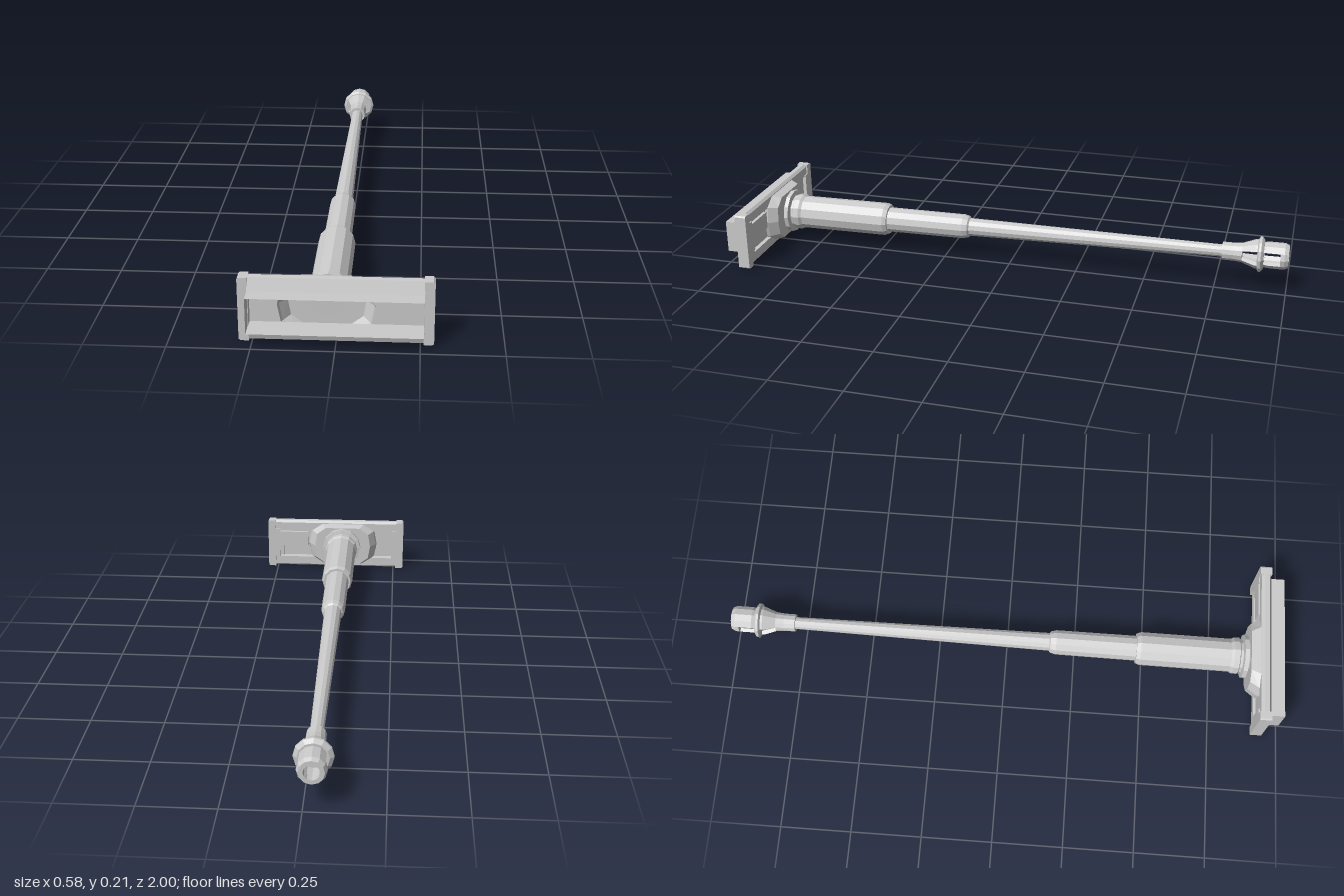
import * as THREE from 'three';

const material = new THREE.MeshStandardMaterial({ color: 0xcccccc, flatShading: true, side: THREE.DoubleSide });
const SIDES = 12;

function add(parent, name, geometry) {
  const mesh = new THREE.Mesh(geometry, material);
  mesh.name = name;
  parent.add(mesh);
  return mesh;
}

function box(parent, name, [x0, x1], [y0, y1], [z0, z1]) {
  const mesh = add(parent, name, new THREE.BoxGeometry(x1 - x0, y1 - y0, z1 - z0));
  mesh.position.set((x0 + x1) / 2, (y0 + y1) / 2, (z0 + z1) / 2);
}

const toVectors = (points) => points.map(([x, y]) => new THREE.Vector2(x, y));

// Turned part along -z; points are [radius, distance], angle 0 is up
function turned(parent, name, points, start = 0, sweep = Math.PI * 2) {
  const segments = Math.round((SIDES * sweep) / (Math.PI * 2));
  const g = new THREE.LatheGeometry(toVectors(points), segments, start, sweep);
  return add(parent, name, g.rotateX(-Math.PI / 2));
}

// Arc-shaped solid between two side ports, with closed cut faces
function portBridge(parent, name, points, middle) {
  const start = middle - Math.PI / 3, sweep = (Math.PI * 2) / 3;
  turned(parent, name, [...points, points[0]], start, sweep);
  for (const angle of [start, start + sweep]) {
    const cap = new THREE.ShapeGeometry(new THREE.Shape(toVectors(points)));
    add(parent, name + 'Side', cap.rotateY(angle - Math.PI / 2).rotateX(-Math.PI / 2));
  }
}

// Quads joining closed rings of equal point count
function loft(rings) {
  const n = rings[0].length, index = [];
  for (let r = 0; r < rings.length - 1; r++) {
    for (let i = 0; i < n; i++) {
      const a = r * n + i, b = r * n + ((i + 1) % n);
      index.push(a, a + n, b, b, a + n, b + n);
    }
  }
  const g = new THREE.BufferGeometry();
  g.setAttribute('position', new THREE.Float32BufferAttribute(rings.flat(2), 3));
  g.setIndex(index);
  g.computeVertexNormals();
  return g;
}

function buildBarrel() {
  const gun = new THREE.Group();
  gun.name = 'barrelAssembly';

  // Stepped, tapering tube with its root collars
  turned(gun, 'barrel', [
    [0, 0], [0.08, 0], [0.08, 0.015], [0.062, 0.018], [0.062, 0.027], [0.067, 0.03],
    [0.067, 0.05], [0.061, 0.06], [0.061, 0.385], [0.055, 0.4], [0.046, 0.4],
    [0.045, 0.69], [0.04, 0.71], [0.033, 0.715], [0.022, 1.64],
  ]);

  // Muzzle brake: sleeve, two pairs of side ports, collar and end ring
  turned(gun, 'muzzleSleeve', [[0.02, 1.64], [0.032, 1.64], [0.032, 1.68], [0.035, 1.71], [0, 1.71]]);
  for (const middle of [0, Math.PI]) {
    portBridge(gun, 'rearPortBridge', [[0.022, 1.71], [0.035, 1.71], [0.052, 1.755], [0.052, 1.765], [0.038, 1.765]], middle);
    portBridge(gun, 'frontPortBridge', [[0.034, 1.78], [0.042, 1.78], [0.047, 1.795], [0.047, 1.845], [0.034, 1.845]], middle);
  }
  turned(gun, 'muzzleCollar', [[0.026, 1.763], [0.054, 1.763], [0.063, 1.768], [0.063, 1.776], [0.05, 1.785], [0.026, 1.785], [0.026, 1.763]]);
  turned(gun, 'muzzleRing', [[0.026, 1.842], [0.047, 1.842], [0.047, 1.856], [0.04, 1.87], [0.026, 1.87], [0.026, 1.842]]);

  gun.position.set(-0.028, 0.11, 0.87);
  gun.rotation.x = 0.014;
  return gun;
}

function buildShield() {
  const shield = new THREE.Group();
  shield.name = 'shield';
  const cx = -0.031, cy = 0.108;

  // Open sleeve facing forward
  const rect = (z) => [[-0.262, 0.05, z], [0.26, 0.05, z], [0.26, 0.166, z], [-0.262, 0.166, z]];
  add(shield, 'frontSleeve', loft([rect(1), rect(0.918)]));

  // Bevelled rails above and below the sleeve
  for (const side of [1, -1]) {
    const y = (v) => 0.104 + side * v;
    const profile = new THREE.Shape(toVectors([
      [-0.952, y(0.061)], [-0.938, y(0.102)], [-0.92, y(0.103)], [-0.91, y(0.095)], [-0.91, y(0.061)],
    ]));
    const g = new THREE.ExtrudeGeometry(profile, { depth: 0.524, bevelEnabled: false });
    const rail = add(shield, side > 0 ? 'topRail' : 'bottomRail', g.rotateY(Math.PI / 2));
    rail.position.x = -0.263;
  }

  // End plates with a rounded outline, and the rear strips beside them
  for (const side of [1, -1]) {
    const shape = new THREE.Shape(toVectors([
      [0.26, 0], [0.286, 0], [0.291, 0.005], [0.291, 0.202], [0.286, 0.207], [0.26, 0.207],
    ].map(([x, y]) => [x * side, y])));
    const end = add(shield, 'endPlate', new THREE.ExtrudeGeometry(shape, { depth: 0.042, bevelEnabled: false }));
    end.position.z = 0.905;
    box(shield, 'rearStrip', side > 0 ? [0.24, 0.262] : [-0.262, -0.24], [0.045, 0.17], [0.905, 0.918]);

    // Back web, cut to the outline of the collar housing
    const web = new THREE.Shape(toVectors([
      [side * 0.261, 0.05], [cx + side * 0.135, 0.05], [cx + side * 0.146, cy],
      [cx + side * 0.135, 0.166], [side * 0.261, 0.166],
    ]));
    add(shield, 'backWeb', new THREE.ShapeGeometry(web)).position.z = 0.918;
  }

  // Small tapered panel and tab on the back
  box(shield, 'rearPanel', [0.12, 0.24], [0.095, 0.158], [0.906, 0.919]);
  box(shield, 'rearTab', [0.225, 0.24], [0.05, 0.095], [0.91, 0.919]);

  // Faceted housing around the barrel root
  const quarter = [[0.146, 0], [0.135, 0.058], [0.09, 0.088]];
  const mirrorX = quarter.map(([x, y]) => [-x, y]).reverse();
  const upper = [...quarter, ...mirrorX];
  const lower = upper.slice(1, -1).map(([x, y]) => [x, -y]).reverse();
  const outline = [...upper, ...lower];
  const ring = (z, sx, sy) => outline.map(([x, y]) => [cx + x * sx, cy + y * sy, z]);
  add(shield, 'collarHousing', loft([
    ring(0.92, 1, 1), ring(0.908, 0.97, 1), ring(0.877, 0.81, 0.92), ring(0.877, 0.35, 0.6),
  ]));
  return shield;
}

export function createModel() {
  const model = new THREE.Group();
  model.name = 'gunWithShield';
  model.add(buildShield(), buildBarrel());
  return model;
}
